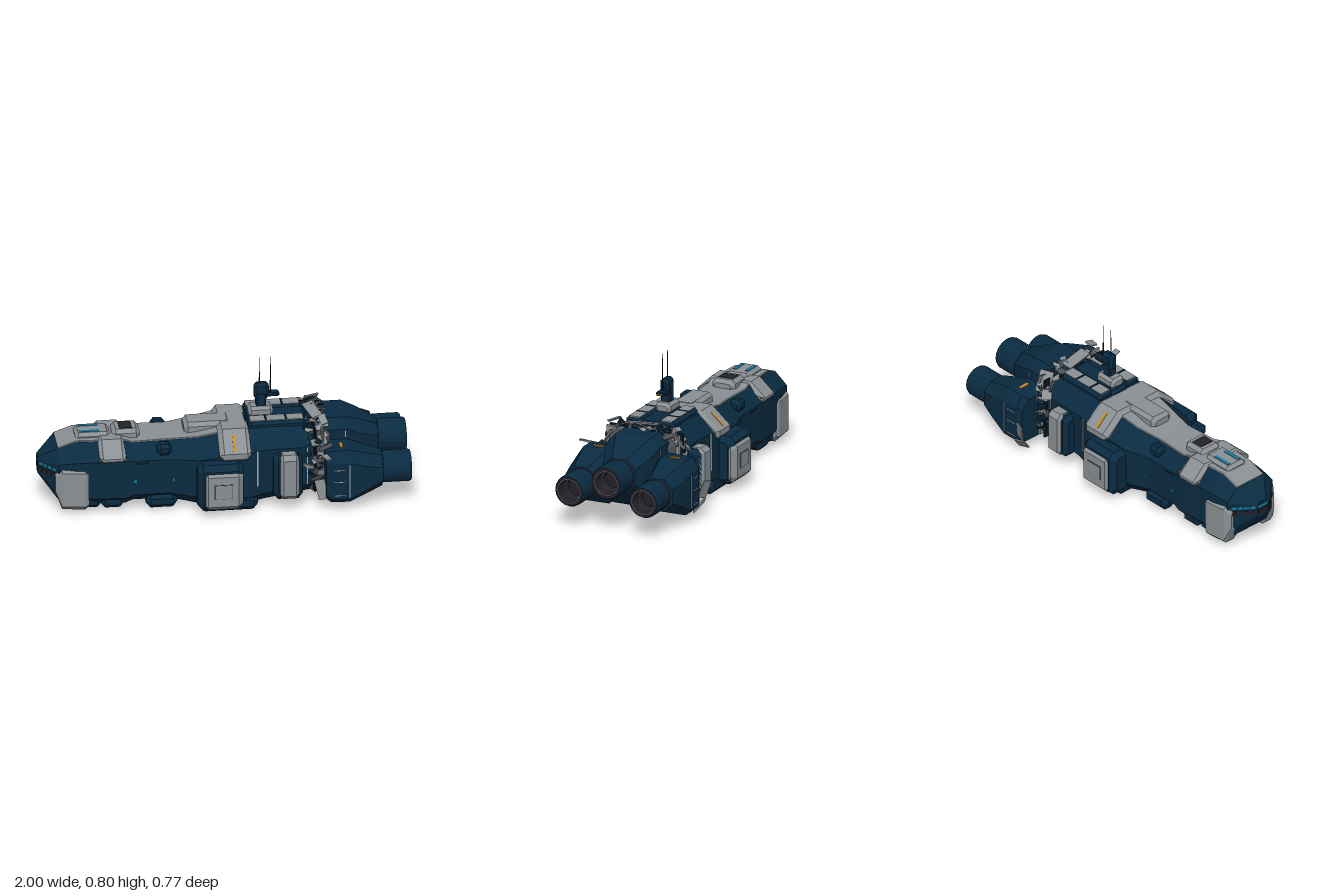
import * as THREE from 'three';

const mat = (name, color) => Object.assign(new THREE.MeshStandardMaterial({ color }), { name });
const blue = mat('hull blue', 0x0a2b41), navy = mat('dark navy', 0x071c2a), grey = mat('armour grey', 0x8a9094);
const steel = mat('dark steel', 0x4b4f54), soot = mat('nozzle soot', 0x242029), teal = mat('window teal', 0x1a7ba0);
const orange = mat('marking orange', 0xc58a22), maroon = mat('vent maroon', 0x281a20), silver = mat('trim silver', 0xa5a8a8);

const CZ = 0.015; // hull centreline

export function createModel() {
  const model = new THREE.Group();
  model.name = 'spaceship';

  const add = (name, geo, material) => {
    const m = new THREE.Mesh(geo, material);
    m.name = name;
    model.add(m);
    return m;
  };

  // Eight-sided skin along x; section = [x, yBottom, yTop, halfWidth, topCutY, topCutZ, bottomCut]
  const loft = (sections, cz) => {
    const pos = [];
    const rings = sections.map(([x, y0, y1, h, ty, tz, b]) => [
      [y1, h - tz], [y1 - ty, h], [y0 + b, h], [y0, h - b],
      [y0, b - h], [y0 + b, -h], [y1 - ty, -h], [y1, tz - h],
    ].map(([y, z]) => [x, y, z + cz]));
    const tri = (...p) => p.forEach((v) => pos.push(...v));
    for (let k = 0; k + 1 < rings.length; k++) {
      for (let i = 0; i < 8; i++) {
        const j = (i + 1) % 8, a = rings[k], c = rings[k + 1];
        tri(a[i], a[j], c[i]);
        tri(a[j], c[j], c[i]);
      }
    }
    const s = rings[0], e = rings[rings.length - 1];
    for (let i = 1; i < 7; i++) {
      tri(s[0], s[i + 1], s[i]);
      tri(e[0], e[i], e[i + 1]);
    }
    const g = new THREE.BufferGeometry();
    g.setAttribute('position', new THREE.Float32BufferAttribute(pos, 3));
    g.computeVertexNormals();
    return g;
  };
  // Bevelled block
  const block = (name, x0, x1, y0, y1, cz, h, b, m) => add(name, loft([
    [x0, y0 + b, y1 - b, h - b, b * 0.5, b * 0.5, b * 0.5], [x0 + b, y0, y1, h, b, b, b],
    [x1 - b, y0, y1, h, b, b, b], [x1, y0 + b, y1 - b, h - b, b * 0.5, b * 0.5, b * 0.5],
  ], cz), m);
  const plate = (name, x0, x1, y0, y1, z0, z1, m) => {
    const p = add(name, new THREE.BoxGeometry(x1 - x0, y1 - y0, z1 - z0), m);
    p.position.set((x0 + x1) / 2, (y0 + y1) / 2, (z0 + z1) / 2);
    return p;
  };
  const rod = (name, x, y0, y1, z, r, m) => {
    const p = add(name, new THREE.CylinderGeometry(r * 0.6, r, y1 - y0, 8), m);
    p.position.set(x, (y0 + y1) / 2, z);
  };

  // Main hull
  const hull = [
    [-1, 0.19, 0.29, 0.04, 0.02, 0.015, 0.02],
    [-0.9, 0.07, 0.365, 0.165, 0.065, 0.065, 0.05],
    [-0.8, 0.045, 0.4, 0.18, 0.09, 0.08, 0.05],
    [-0.54, 0.04, 0.4, 0.19, 0.09, 0.075, 0.05],
    [-0.5, 0.055, 0.385, 0.185, 0.08, 0.07, 0.05],
    [-0.3, 0.055, 0.385, 0.185, 0.08, 0.08, 0.05],
    [-0.15, 0.03, 0.4, 0.23, 0.09, 0.1, 0.06],
    [0, 0.018, 0.43, 0.242, 0.1, 0.1, 0.06],
    [0.12, 0.018, 0.44, 0.242, 0.1, 0.1, 0.06],
    [0.2, 0.03, 0.45, 0.225, 0.1, 0.08, 0.06],
    [0.46, 0.07, 0.45, 0.22, 0.1, 0.08, 0.06],
  ];
  add('mainHull', loft(hull, CZ), blue);
  add('topDeck', loft(hull.slice(1, 9).map(([x, , y, h, , tz]) => [x, y - 0.02, y + 0.006, h - tz, 0.004, 0.004, 0]), CZ), grey);

  // Shoulder armour saddles following the hull slope
  add('foreShoulder', loft([
    [-0.685, 0.33, 0.4, 0.19, 0.08, 0.085, 0.01], [-0.665, 0.31, 0.414, 0.203, 0.08, 0.085, 0.01],
    [-0.56, 0.31, 0.414, 0.203, 0.08, 0.085, 0.01], [-0.54, 0.33, 0.4, 0.19, 0.08, 0.085, 0.01],
  ], CZ), grey);
  add('midShoulder', loft([
    [-0.04, 0.33, 0.425, 0.245, 0.09, 0.105, 0.01], [-0.015, 0.31, 0.452, 0.26, 0.1, 0.11, 0.01],
    [0.11, 0.31, 0.452, 0.26, 0.1, 0.11, 0.01], [0.13, 0.33, 0.44, 0.245, 0.09, 0.105, 0.01],
  ], CZ), grey);

  // Nose windows and sensors on the slanted nose faces
  const noseTurn = Math.atan2(0.125, 0.1);
  for (const s of [-1, 1]) {
    for (let i = 0; i < 4; i++) {
      const x = -0.985 + i * 0.021, z = CZ + s * (0.04 + (x + 1) * 1.25);
      const pane = plate('noseWindow', x - 0.014, x + 0.014, 0.256, 0.271, z - 0.004, z + 0.004, teal);
      const eye = plate('noseSensor', x - 0.011, x + 0.011, 0.214, 0.242, z - 0.004, z + 0.004, i % 2 ? maroon : soot);
      pane.rotation.y = eye.rotation.y = -s * noseTurn;
    }
  }
  plate('frontWindow', -1.002, -0.996, 0.256, 0.271, CZ - 0.037, CZ + 0.037, teal);
  plate('frontSensor', -1.002, -0.996, 0.214, 0.242, CZ - 0.037, CZ + 0.037, maroon);

  // Deck modules
  block('forwardDeckModule', -0.8, -0.61, 0.38, 0.43, CZ, 0.068, 0.018, grey);
  for (const z of [-0.023, 0.05]) plate('deckWindow', -0.775, -0.668, 0.428, 0.433, z - 0.01, z + 0.01, teal);
  block('hatchModule', -0.6, -0.45, 0.37, 0.438, CZ, 0.068, 0.02, grey);
  plate('hatch', -0.56, -0.49, 0.435, 0.441, CZ - 0.042, CZ + 0.042, soot);
  block('midDeckModule', -0.21, 0.045, 0.38, 0.455, CZ, 0.068, 0.02, grey);

  // Paired side equipment
  for (const s of [-1, 1]) {
    const at = (d) => CZ + s * d;
    const side = (name, x0, x1, y0, y1, d, t, m) => plate(name, x0, x1, y0, y1, at(d) - t / 2, at(d) + t / 2, m);
    add('noseCheek', loft([
      [-0.92, 0.13, 0.24, 0.022, 0.02, 0.01, 0.01], [-0.885, 0.035, 0.275, 0.048, 0.02, 0.02, 0.02],
      [-0.76, 0.022, 0.28, 0.056, 0.03, 0.025, 0.03], [-0.74, 0.04, 0.26, 0.045, 0.02, 0.02, 0.02],
    ], at(0.135)), grey);
    block('noseKeel', -0.86, -0.67, 0.025, 0.12, at(0.1), 0.06, 0.02, blue);
    block('foreKeel', -0.67, -0.55, 0.025, 0.12, at(0.11), 0.065, 0.02, blue);
    block('sensorBump', -0.37, -0.29, 0.325, 0.39, at(0.15), 0.035, 0.018, blue);
    block('bellyPod', -0.43, -0.26, 0.015, 0.1, at(0.145), 0.045, 0.025, blue);
    block('bellySkid', -0.14, 0.17, 0, 0.09, at(0.175), 0.07, 0.025, blue);
    for (const x of [-0.49, -0.28]) side('sideLight', x - 0.008, x + 0.008, 0.18, 0.198, 0.187, 0.008, teal);
    side('sideGroove', -0.5, -0.42, 0.285, 0.292, 0.184, 0.008, navy);
    // Main flank pod with armour plate
    block('flankPod', -0.165, 0.085, 0.04, 0.31, at(0.255), 0.068, 0.03, blue);
    block('flankArmour', -0.14, 0.08, 0.05, 0.282, at(0.302), 0.035, 0.028, grey);
    side('flankPanel', -0.08, 0.02, 0.125, 0.21, 0.335, 0.008, steel);
    side('flankPanelFace', -0.077, 0.017, 0.128, 0.207, 0.337, 0.008, grey);
    // Shoulder stripe
    const slant = side('shoulderStripe', 0.035, 0.051, 0.391, 0.397, 0.213, 0.1, orange);
    slant.rotation.x = s * Math.atan2(0.1, 0.11);
    // Aft flank pod
    block('aftFlankFrame', 0.25, 0.41, 0.07, 0.33, at(0.235), 0.05, 0.025, blue);
    block('aftFlankArmour', 0.275, 0.395, 0.075, 0.335, at(0.25), 0.05, 0.025, grey);
    side('trimRib', 0.162, 0.17, 0.14, 0.35, 0.233, 0.009, silver);
    side('trimRib', 0.435, 0.441, 0.13, 0.35, 0.221, 0.008, silver);
    // Aft deck strips
    block('aftDeckRail', 0.13, 0.44, 0.43, 0.476, at(0.095), 0.05, 0.015, blue);
    plate('aftDeckStrip', 0.14, 0.43, 0.473, 0.48, at(0.095) - 0.033, at(0.095) + 0.033, grey);
    for (const x of [0.22, 0.33]) plate('aftDeckGroove', x, x + 0.012, 0.475, 0.482, at(0.095) - 0.033, at(0.095) + 0.033, navy);
    plate('engineDeckStripe', 0.612, 0.63, 0.347, 0.354, s * 0.23 - 0.03, s * 0.23 + 0.03, orange);
    plate('bellyVent', -0.06, 0.08, -0.001, 0.005, at(0.175) - 0.035, at(0.175) + 0.035, maroon);
    plate('noseVent', -0.82, -0.71, 0.021, 0.027, at(0.1) - 0.03, at(0.1) + 0.03, maroon);
  }
  block('aftSpine', 0.12, 0.45, 0.42, 0.468, CZ, 0.06, 0.015, blue);
  block('bellyKeel', -0.12, 0.22, 0.012, 0.06, CZ, 0.1, 0.012, navy);
  for (const x of [-0.62, -0.4, 0.3]) plate('keelVent', x - 0.05, x + 0.05, x > 0 ? 0.042 : 0.037, x > 0 ? 0.051 : 0.046, CZ - 0.06, CZ + 0.06, maroon);

  // Turret mast and antennas
  block('mastBase', 0.14, 0.275, 0.46, 0.52, 0.02, 0.045, 0.016, grey);
  block('mastPost', 0.185, 0.24, 0.51, 0.6, 0.02, 0.028, 0.008, blue);
  block('mastHead', 0.175, 0.255, 0.555, 0.65, 0.02, 0.026, 0.014, blue);
  block('mastArm', 0.24, 0.31, 0.57, 0.592, 0.02, 0.022, 0.005, blue);
  plate('mastBand', 0.308, 0.313, 0.576, 0.582, 0.002, 0.038, orange);
  for (const x of [0.205, 0.265]) {
    rod('antennaBase', x, 0.58, 0.69, 0.022, 0.005, navy);
    rod('antenna', x, 0.68, 0.8, 0.022, 0.0025, soot);
  }
  rod('smallAntenna', 0.125, 0.43, 0.5, 0.06, 0.003, soot);

  // Damaged neck: exposed core, ribs and torn plating
  block('neckCore', 0.43, 0.57, 0.09, 0.43, 0.01, 0.2, 0.04, steel);
  for (const x of [0.475, 0.515]) block('neckRib', x, x + 0.014, 0.075, 0.445, 0.01, 0.222, 0.005, x < 0.5 ? navy : grey);
  let seed = 11;
  const rnd = () => (seed = (seed * 16807) % 2147483647) / 2147483647;
  for (let i = 0; i < 110; i++) {
    const a = (i / 110) * Math.PI * 2, c = Math.cos(a), s = Math.sin(a);
    const k = 1 / Math.max(Math.abs(c) / 0.23, Math.abs(s) / 0.19, (Math.abs(c) + Math.abs(s)) / 0.345);
    const p = add('tornPlate', new THREE.BoxGeometry(0.02 + rnd() * 0.06, 0.005, 0.01 + rnd() * 0.035), [grey, steel, blue, grey, navy][i % 5]);
    p.position.set(0.44 + rnd() * 0.11, 0.265 + s * k, 0.01 + c * k);
    p.rotation.set(Math.PI / 2 - a + rnd() - 0.5, (rnd() - 0.5) * 1.4, (rnd() - 0.5) * 1.2);
  }
  const torn = [ // x, y, z, length, width, tilt about x, tilt about z
    [0.53, 0.485, 0.18, 0.04, 0.07, 0.4, 0.3], [0.53, 0.335, 0.34, 0.03, 0.09, -0.15, 0.2],
    [0.5, 0.4, 0.2, 0.08, 0.11, 1.0, 0.2], [0.52, 0.16, -0.355, 0.06, 0.1, 1.3, 0.3],
    [0.53, 0.07, -0.33, 0.06, 0.09, 0.9, -0.3], [0.5, 0.42, -0.19, 0.08, 0.12, -1.0, 0.3],
    [0.49, 0.472, 0.03, 0.06, 0.18, 0, 0.2], [0.51, 0.12, 0.29, 0.06, 0.11, 1.3, 0.5],
  ];
  for (const [x, y, z, l, w, rx, rz] of torn) {
    const p = add('bentPanel', new THREE.BoxGeometry(l, 0.008, w), grey);
    p.position.set(x, y, z);
    p.rotation.set(rx, 0.2, rz);
  }

  // Engine block
  add('engineCore', loft([
    [0.54, 0.06, 0.455, 0.155, 0.05, 0.05, 0.03], [0.66, 0.06, 0.455, 0.155, 0.05, 0.05, 0.03],
    [0.73, 0.1, 0.43, 0.14, 0.06, 0.06, 0.05], [0.84, 0.185, 0.375, 0.095, 0.05, 0.05, 0.05],
  ], 0), blue);
  plate('engineBellyTrim', 0.645, 0.651, 0.056, 0.062, -0.11, 0.11, silver);
  for (const s of [-1, 1]) {
    add('sideNacelle', loft([
      [0.53, 0.07, 0.33, 0.1, 0.05, 0.05, 0.03], [0.56, 0.05, 0.35, 0.112, 0.06, 0.04, 0.03],
      [0.66, 0.048, 0.35, 0.112, 0.06, 0.04, 0.03], [0.76, 0.085, 0.32, 0.105, 0.06, 0.05, 0.045],
      [0.84, 0.115, 0.295, 0.09, 0.05, 0.05, 0.05],
    ], s * 0.23), blue);
    plate('nacelleTrim', 0.653, 0.657, 0.09, 0.28, s * 0.342 - 0.003, s * 0.342 + 0.003, silver);
    for (const y of [0.1, 0.18, 0.25]) plate('nacelleSeam', 0.57, 0.63, y, y + 0.004, s * 0.342 - 0.003, s * 0.342 + 0.003, silver);
    plate('coreTrim', 0.653, 0.657, 0.36, 0.4, s * 0.155 - 0.004, s * 0.155 + 0.004, silver);
  }

  // Nozzles: shell, collar, sooted bore and bright rings
  const lathe = (name, pts, y, z, m) => {
    const g = new THREE.LatheGeometry(pts.map(([r, h]) => new THREE.Vector2(r, h)), 20).toNonIndexed();
    g.rotateZ(-Math.PI / 2);
    g.computeVertexNormals();
    add(name, g, m).position.set(0, y, z);
  };
  for (const [y, z, r] of [[0.282, 0, 0.093], [0.205, 0.222, 0.088], [0.205, -0.222, 0.088]]) {
    lathe('nozzleCollar', [[r - 0.01, 0.825], [r + 0.002, 0.832], [r + 0.002, 0.84], [r - 0.01, 0.848]], y, z, soot);
    lathe('nozzleShell', [[r - 0.004, 0.84], [r, 0.855], [r, 0.985], [r - 0.006, 0.998]], y, z, blue);
    lathe('nozzleBore', [[r - 0.006, 0.998], [0.07, 0.998], [0.062, 0.93], [0.05, 0.9], [0.0001, 0.9]], y, z, soot);
    for (const [ring, x] of [[0.067, 0.997], [0.055, 0.945]]) {
      const g = new THREE.TorusGeometry(ring, 0.003, 6, 28);
      g.rotateY(Math.PI / 2);
      add('nozzleRing', g, silver).position.set(x, y, z);
    }
  }
  return model;
}
